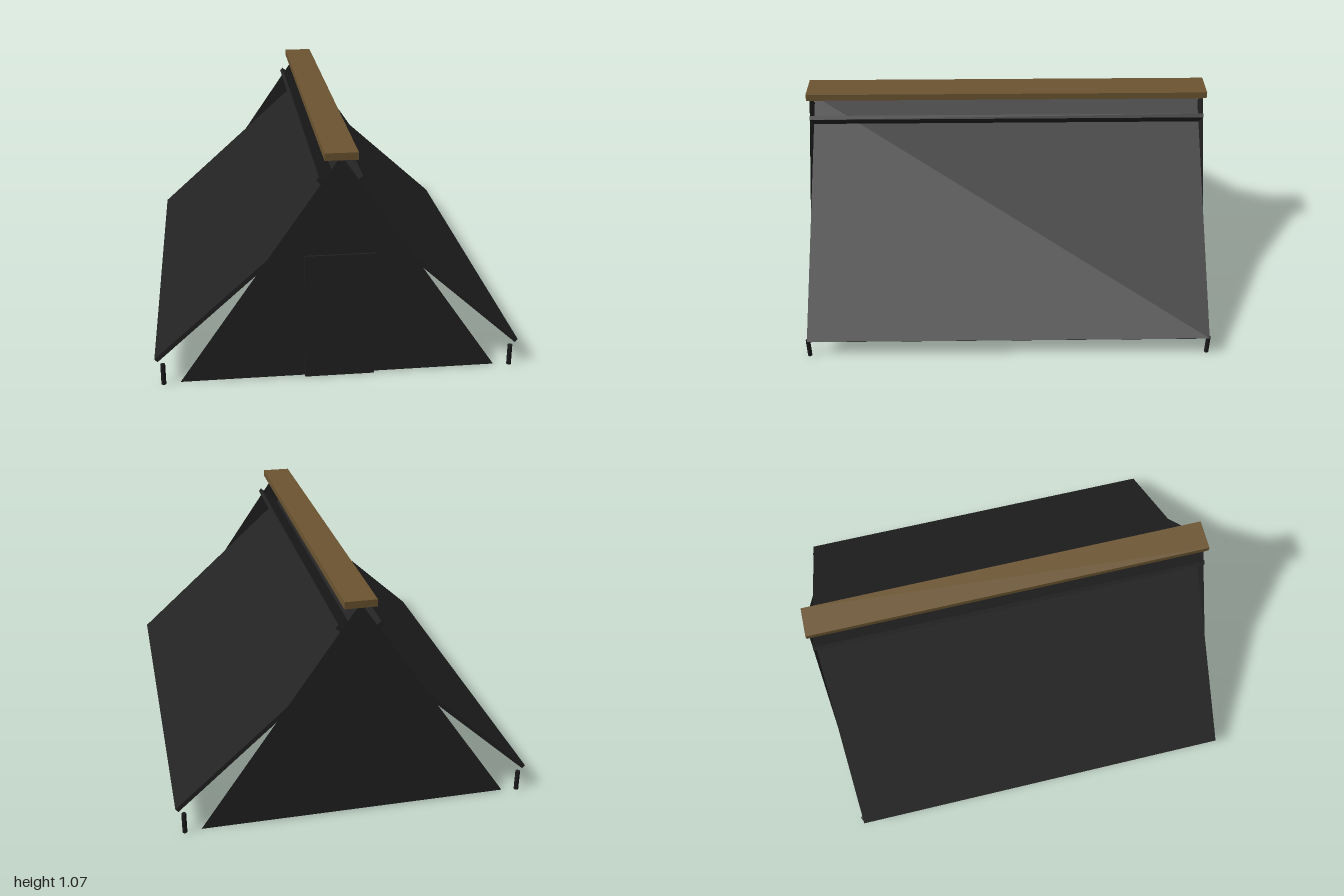
import * as THREE from 'three';

export function createModel() {
  const model = new THREE.Group();
  model.name = 'ridgeTent';

  const canvas = new THREE.MeshStandardMaterial({ name: 'darkCanvas', color: 0x222222, side: THREE.DoubleSide });
  const iron = new THREE.MeshStandardMaterial({ name: 'blackPeg', color: 0x1a1a1c });
  const wood = new THREE.MeshStandardMaterial({ name: 'brownWood', color: 0x6b5430 });

  const add = (name, geometry, material, x, y, z) => {
    const mesh = new THREE.Mesh(geometry, material);
    mesh.name = name;
    mesh.position.set(x, y, z);
    model.add(mesh);
    return mesh;
  };

  // Flat ridge board along the top
  add('ridgeBoard', new THREE.BoxGeometry(0.146, 0.033, 1.992), wood, 0, 1.052, 0);

  // Two sloping roof sheets that cross just below the ridge
  const sheet = new THREE.BoxGeometry(1.248, 0.02, 1.97);
  for (const side of [1, -1]) {
    const roof = add(side > 0 ? 'leftRoofSheet' : 'rightRoofSheet', sheet, canvas, side * 0.3625, 0.535, 0);
    roof.rotation.z = -side * THREE.MathUtils.degToRad(42);
  }

  // Triangular end walls, single sheets of cloth
  const triangle = new THREE.Shape([
    new THREE.Vector2(-0.722, 0.004),
    new THREE.Vector2(0.722, 0.004),
    new THREE.Vector2(0, 1.055),
  ]);
  const wall = new THREE.ShapeGeometry(triangle);
  add('frontWall', wall, canvas, 0, 0, 0.988);
  add('backWall', wall, canvas, 0, 0, -0.988).rotation.y = Math.PI;

  // Door flap on the front wall
  add('doorFlap', new THREE.BoxGeometry(0.316, 0.6, 0.009), canvas, 0, 0.3, 0.9945);

  // Corner pegs
  const peg = new THREE.CylinderGeometry(0.011, 0.011, 0.1, 12);
  for (const x of [-0.797, 0.797]) {
    for (const z of [-0.988, 0.988]) add('cornerPeg', peg, iron, x, 0.05, z);
  }

  return model;
}
